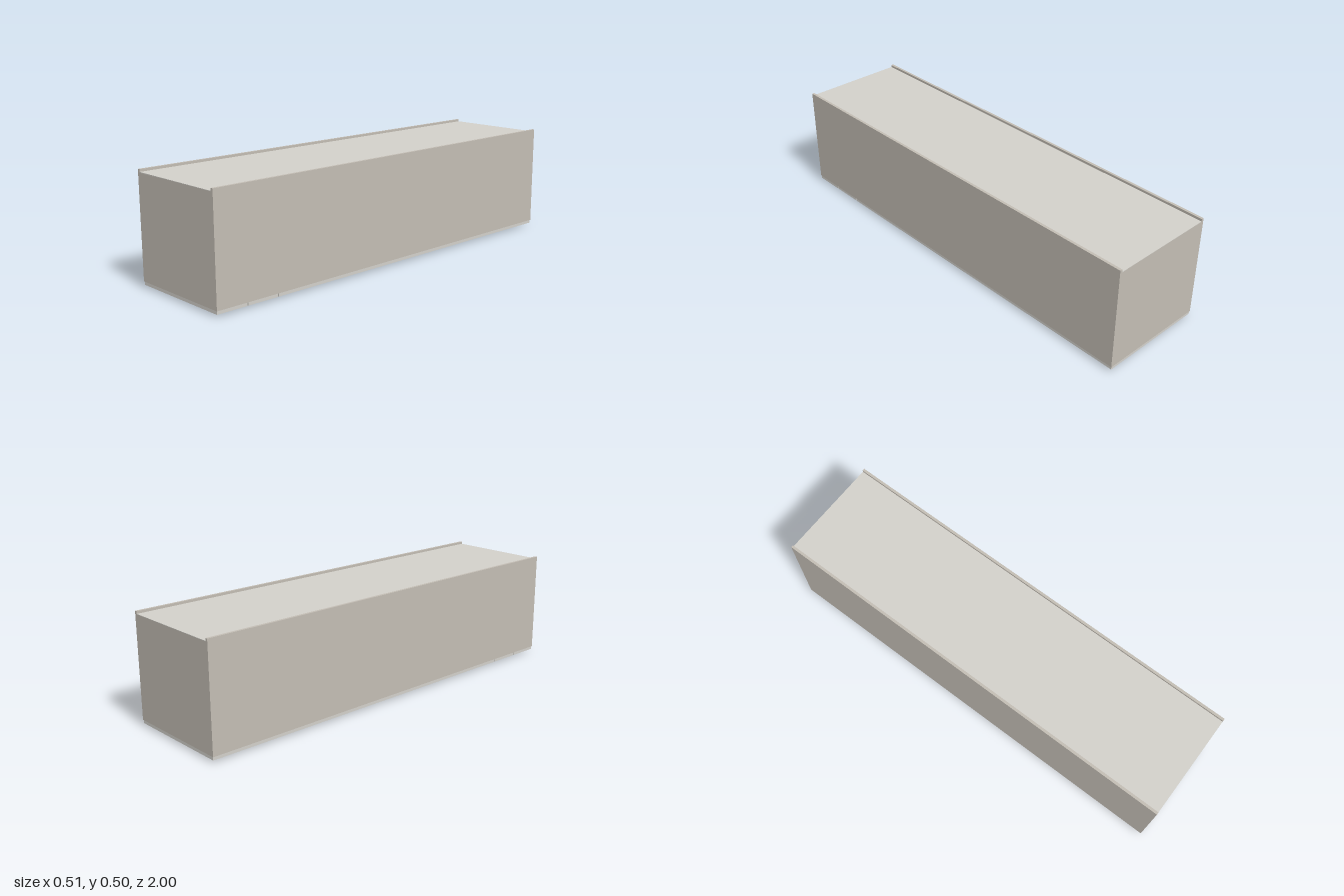
import * as THREE from 'three';

const carcassMat = new THREE.MeshStandardMaterial({ color: 0xc3bdb4 });
const panelMat = new THREE.MeshStandardMaterial({ color: 0xd2d0ca });
const handleMat = new THREE.MeshStandardMaterial({ color: 0x7c7c7e });

export function createModel() {
  const model = new THREE.Group();

  // Box given by its lower and upper corners
  function box(name, mat, [x0, y0, z0], [x1, y1, z1]) {
    const mesh = new THREE.Mesh(new THREE.BoxGeometry(x1 - x0, y1 - y0, z1 - z0), mat);
    mesh.position.set((x0 + x1) / 2, (y0 + y1) / 2, (z0 + z1) / 2);
    mesh.name = name;
    model.add(mesh);
  }

  const W = 0.256, T = 0.012, inner = W - T;
  const bottom = 0.026, deck = 0.49, top = 0.503;

  // Long side boards, standing proud of the recessed back panel
  box('rightSideBoard', carcassMat, [-W, bottom, -1], [-inner, top, 1]);
  box('leftSideBoard', carcassMat, [inner, bottom, -1], [W, top, 1]);

  // End boards and recessed back panel
  box('frontEndBoard', carcassMat, [-inner, bottom, 1 - T], [inner, deck, 1]);
  box('rearEndBoard', carcassMat, [-inner, bottom, -1], [inner, deck, -1 + T]);
  box('backPanel', panelMat, [-inner, deck - 0.002, -1], [inner, deck + 0.002, 1]);

  // Inner dividers behind the joints between the fronts
  for (const z of [0.85, 0.697]) {
    box('divider', carcassMat, [-inner, bottom, z - T / 2], [inner, deck - 0.002, z + T / 2]);
  }

  // Two drawer fronts and one long door, each with a bar handle
  const fronts = [
    ['upperDrawer', 0.852, 0.998, 0.926],
    ['lowerDrawer', 0.699, 0.848, 0.774],
    ['door', -0.998, 0.695, 0.63],
  ];
  for (const [name, z0, z1, handleZ] of fronts) {
    box(name + 'Front', panelMat, [-0.253, 0.011, z0], [0.253, bottom - 0.0005, z1]);
    box(name + 'Handle', handleMat, [-0.04, 0, handleZ - 0.006], [0.04, 0.011, handleZ + 0.006]);
  }

  return model;
}
